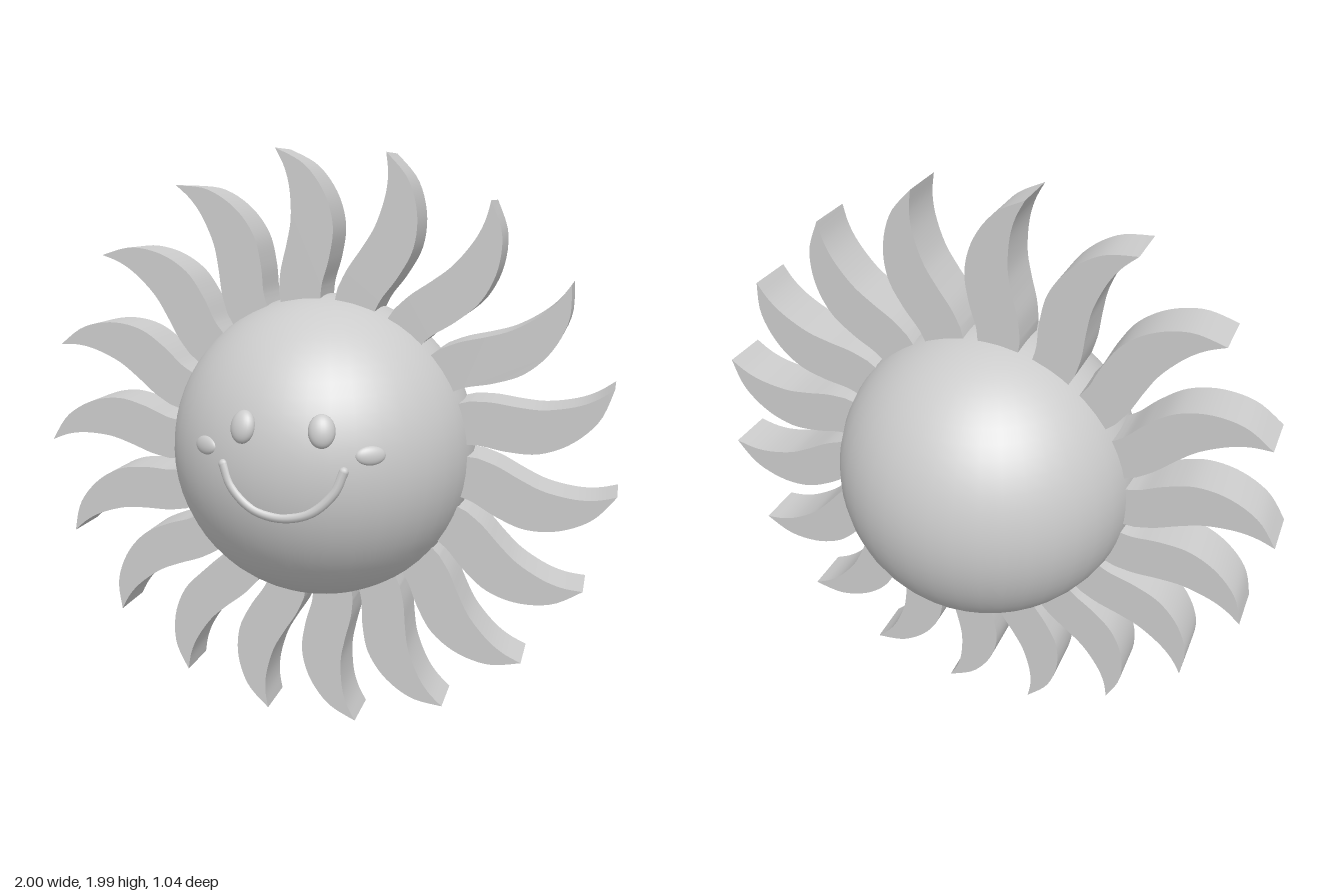
import * as THREE from 'three';
import { toCreasedNormals } from 'three/addons/utils/BufferGeometryUtils.js';

const R = 0.521, CENTER_X = 0.003, CENTER_Y = 0.994, RAYS = 18;
const material = new THREE.MeshStandardMaterial({ color: 0xcccccc });

function addMesh(parent, name, geometry) {
  const mesh = new THREE.Mesh(geometry, material);
  mesh.name = name;
  parent.add(mesh);
  return mesh;
}

// Point on the front of the ball
function onBall(x, y, radius = R) {
  return new THREE.Vector3(x, y, Math.sqrt(radius * radius - x * x - y * y));
}

// Wavy flame outline, with its root buried in the ball
function rayGeometry() {
  const v = (x, y) => new THREE.Vector2(x, y);
  const shape = new THREE.Shape();
  shape.moveTo(-0.115, 0.46);
  shape.lineTo(0.015, 0.46);
  shape.lineTo(0.02, 0.53);
  shape.splineThru([v(0.026, 0.565), v(0.05, 0.645), v(0.063, 0.745), v(0.035, 0.85), v(-0.033, 0.942), v(-0.13, 0.995)]);
  shape.splineThru([v(-0.1, 0.935), v(-0.083, 0.865), v(-0.08, 0.77), v(-0.095, 0.69), v(-0.117, 0.605), v(-0.125, 0.535)]);
  const geometry = new THREE.ExtrudeGeometry(shape, { depth: 0.172, bevelEnabled: false, curveSegments: 4 });
  geometry.translate(0, 0, -0.08);
  return toCreasedNormals(geometry, 0.6);
}

// Flattened ellipsoid lying on the ball, facing outward
function addSpot(parent, name, x, y, size, sink) {
  const spot = addMesh(parent, name, new THREE.SphereGeometry(1, 24, 16));
  const point = onBall(x, y, R - sink);
  spot.position.copy(point);
  spot.scale.set(...size);
  spot.rotation.set(-Math.asin(point.y / point.length()), Math.atan2(point.x, point.z), 0, 'YXZ');
}

export function createModel() {
  const sun = new THREE.Group();
  sun.name = 'sun';

  // Ring of rays, spaced slightly wider at the top
  const rays = new THREE.Group();
  rays.name = 'rays';
  rays.position.y = 0.997;
  sun.add(rays);
  const flame = rayGeometry();
  for (let i = 0; i < RAYS; i++) {
    const a = (i / RAYS) * Math.PI * 2;
    addMesh(rays, 'ray', flame).rotation.z = 0.01 - a - 0.065 * Math.sin(a);
  }

  const head = new THREE.Group();
  head.name = 'head';
  head.position.set(CENTER_X, CENTER_Y, 0);
  sun.add(head);
  addMesh(head, 'ball', new THREE.SphereGeometry(R, 40, 32));

  // Face
  const face = new THREE.Group();
  face.name = 'face';
  head.add(face);
  for (const [side, s] of [['left', 1], ['right', -1]]) {
    addSpot(face, side + 'Eye', s * 0.126, 0.151, [0.042, 0.053, 0.028], 0);
    addSpot(face, side + 'Cheek', s * 0.267, 0.074, [0.049, 0.03, 0.016], 0.005);
  }

  // Smile follows the ball, with rounded ends
  const smile = new THREE.CatmullRomCurve3([
    [-0.194, 0.028], [-0.165, -0.04], [-0.095, -0.104], [0, -0.126],
    [0.095, -0.104], [0.165, -0.04], [0.194, 0.028],
  ].map(([x, y]) => onBall(x, y, R - 0.004)));
  addMesh(face, 'mouth', new THREE.TubeGeometry(smile, 40, 0.016, 10));
  for (const t of [0, 1]) {
    addMesh(face, 'mouthCorner', new THREE.SphereGeometry(0.016, 12, 10)).position.copy(smile.getPoint(t));
  }
  return sun;
}
